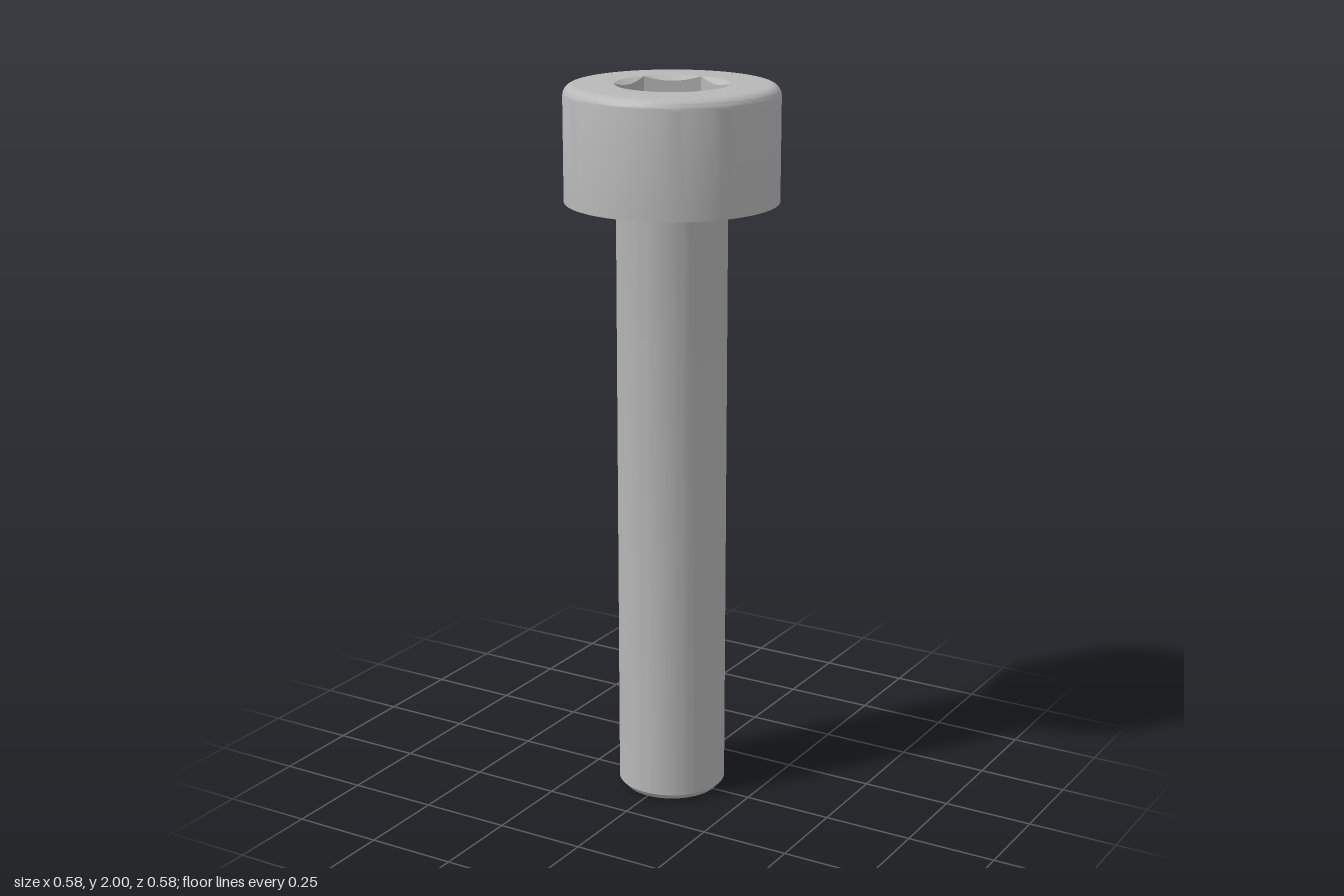
import * as THREE from 'three';
import { toCreasedNormals } from 'three/addons/utils/BufferGeometryUtils.js';

const SEGMENTS = 96;
const HEAD_R = 0.289, HEAD_BOTTOM = 1.688, ROUND = 0.03;
const SHANK_R = 0.15, FILLET = 0.01;
const HEX_FLAT = 0.133, HEX_CORNER = HEX_FLAT / Math.cos(Math.PI / 6);
const FLOOR = 1.85;

const lathe = (points) =>
  new THREE.LatheGeometry(points.map(([r, y]) => new THREE.Vector2(r, y)), SEGMENTS);

// Points along a quarter-style arc from angle a0 to a1
function arc(cx, cy, r, a0, a1, steps) {
  return Array.from({ length: steps + 1 }, (_, i) => {
    const a = a0 + (a1 - a0) * i / steps;
    return [cx + r * Math.cos(a), cy + r * Math.sin(a)];
  });
}

// Distance from the axis to the hexagon's side, with corners on +z and -z
function hexRadius(angle) {
  const sector = Math.PI / 3;
  const local = ((angle % sector) + sector) % sector - sector / 2;
  return HEX_FLAT / Math.cos(local);
}

// Hexagonal recess: a turned profile whose wall rings are pulled onto a hexagon
function socketGeometry() {
  const profile = [
    [HEX_CORNER, 2],                  // chamfer rim
    [HEX_CORNER, 2],                  // chamfer meets the walls (moved)
    [HEX_CORNER, FLOOR],              // foot of the walls (moved)
    [HEX_FLAT, FLOOR],                // edge of the drilled cone
    [0, FLOOR - HEX_FLAT * 0.577],    // drill point
  ];
  const geometry = lathe(profile);
  const pos = geometry.attributes.position;
  for (let i = 0; i <= SEGMENTS; i++) {
    const angle = i / SEGMENTS * Math.PI * 2;
    const r = hexRadius(angle);
    for (const ring of [1, 2]) {
      const y = ring === 1 ? 2 - (HEX_CORNER - r) * 0.6 : FLOOR;
      pos.setXYZ(i * profile.length + ring, r * Math.sin(angle), y, r * Math.cos(angle));
    }
  }
  return geometry;
}

export function createModel() {
  const group = new THREE.Group();
  const steel = new THREE.MeshStandardMaterial({ color: 0xb8b8b8 });
  steel.name = 'steel';

  const add = (name, geometry) => {
    const mesh = new THREE.Mesh(toCreasedNormals(geometry, 0.45), steel);
    mesh.name = name;
    group.add(mesh);
  };

  // Shank with a chamfered tip and a small fillet under the head
  add('shank', lathe([
    [0, 0], [0.135, 0], [SHANK_R, 0.017],
    ...arc(SHANK_R + FILLET, HEAD_BOTTOM - FILLET, FILLET, Math.PI, Math.PI / 2, 5),
  ]));

  // Cylindrical head with a rounded top edge, open at the socket
  add('head', lathe([
    [SHANK_R + FILLET, HEAD_BOTTOM], [HEAD_R, HEAD_BOTTOM],
    ...arc(HEAD_R - ROUND, 2 - ROUND, ROUND, 0, Math.PI / 2, 8),
    [HEX_CORNER, 2],
  ]));

  add('hexSocket', socketGeometry());
  return group;
}
